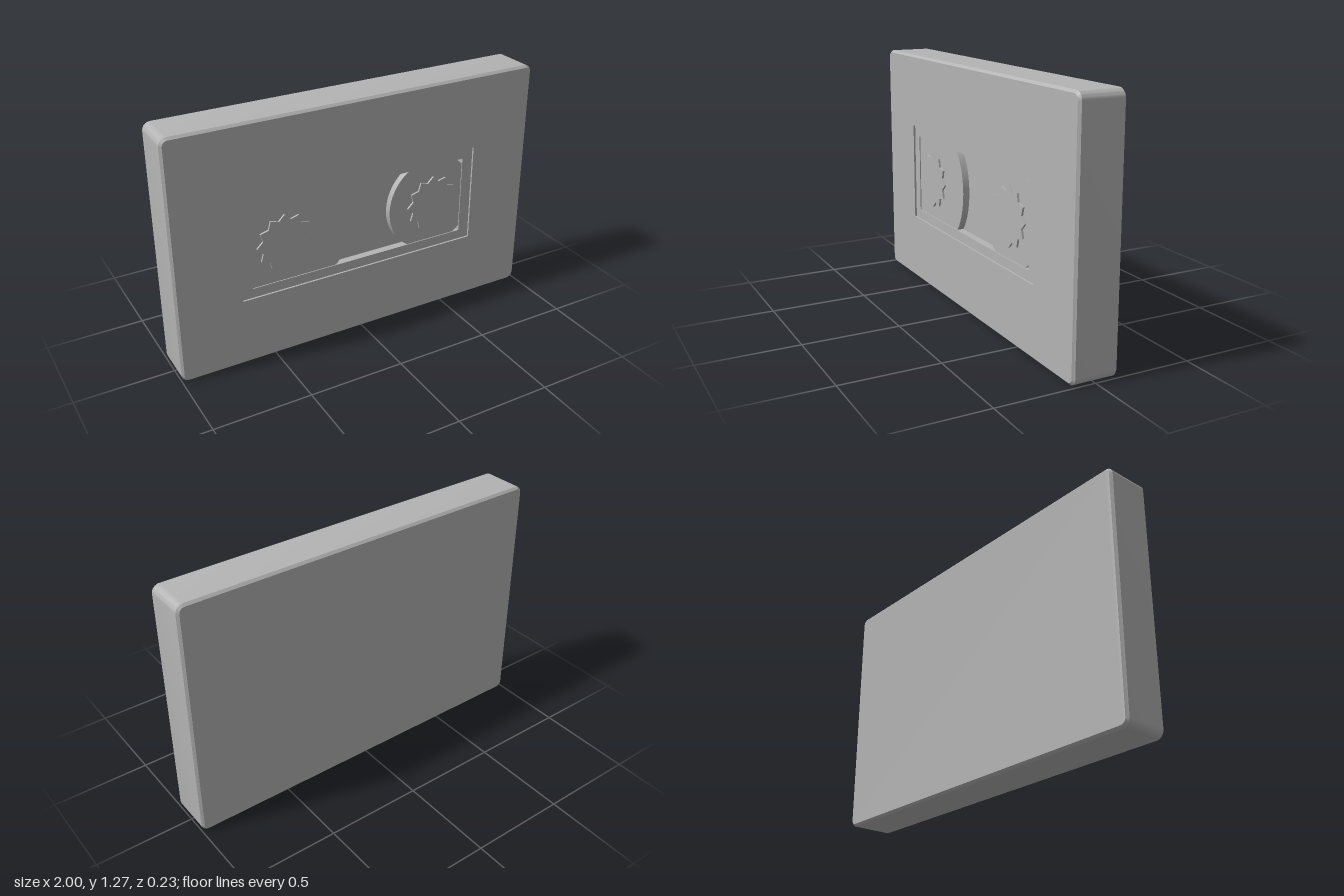
import * as THREE from 'three';
import { toCreasedNormals } from 'three/addons/utils/BufferGeometryUtils.js';

const W = 2, H = 1.275, MID = H / 2, Z = 0.117, BEVEL = 0.012;
const FRAME_Z = Z - 0.01, SPOOL_Z = Z - 0.015, FLOOR_Z = Z - 0.05;

// Counter-clockwise rounded rectangle outline, centred on (0, MID)
function roundedOutline(inset) {
  const r = 0.04 - inset, cx = W / 2 - 0.04, cy = H / 2 - 0.04, pts = [];
  [[1, 1], [-1, 1], [-1, -1], [1, -1]].forEach(([sx, sy], q) => {
    for (let i = 0; i <= 8; i++) {
      const a = (q + i / 8) * Math.PI / 2;
      pts.push(new THREE.Vector2(sx * cx + r * Math.cos(a), MID + sy * cy + r * Math.sin(a)));
    }
  });
  return pts;
}

function rectOutline(x0, x1, y0, y1) {
  return [[x0, y0], [x1, y0], [x1, y1], [x0, y1]].map(([x, y]) => new THREE.Vector2(x, y));
}

// Walls through outlines placed at rising z; inward flips them to line a hole
function walls(rings, inward = false) {
  const pos = [], n = rings[0].pts.length;
  for (let k = 0; k < rings.length - 1; k++) {
    for (let i = 0; i < n; i++) {
      const j = (i + 1) % n, lo = rings[k], hi = rings[k + 1];
      const a = [lo.pts[i].x, lo.pts[i].y, lo.z], b = [lo.pts[j].x, lo.pts[j].y, lo.z];
      const c = [hi.pts[j].x, hi.pts[j].y, hi.z], d = [hi.pts[i].x, hi.pts[i].y, hi.z];
      const quad = inward ? [a, c, b, a, d, c] : [a, b, c, a, c, d];
      pos.push(...quad.flat());
    }
  }
  const g = new THREE.BufferGeometry();
  g.setAttribute('position', new THREE.Float32BufferAttribute(pos, 3));
  return toCreasedNormals(g, 0.6);
}

// Flat face towards +z, optionally with a hole
function face(pts, z, hole) {
  const s = new THREE.Shape(pts);
  if (hole) s.holes.push(new THREE.Path(hole));
  return new THREE.ShapeGeometry(s).translate(0, 0, z);
}

export function createModel() {
  const group = new THREE.Group();
  const grey = new THREE.MeshStandardMaterial({ color: 0xb4b4b4 });
  grey.name = 'plain grey';
  const add = (name, geometry) => {
    const m = new THREE.Mesh(geometry, grey);
    m.name = name;
    group.add(m);
  };

  const full = roundedOutline(0), inset = roundedOutline(BEVEL);
  const panel = rectOutline(-0.662, 0.66, 0.36, 0.885);
  const win = rectOutline(-0.605, 0.6, 0.41, 0.83);

  // Case with chamfered front and back edges
  add('caseSides', walls([
    { pts: inset, z: -Z }, { pts: full, z: -Z + BEVEL },
    { pts: full, z: Z - BEVEL }, { pts: inset, z: Z },
  ]));
  add('caseFront', face(inset, Z, panel));
  add('caseBack', face(inset, 0).rotateY(Math.PI).translate(0, 0, -Z));

  // Shallow recess and the window opening inside it
  add('recessWalls', walls([{ pts: panel, z: FRAME_Z }, { pts: panel, z: Z }], true));
  add('windowFrame', face(panel, FRAME_Z, win));
  add('windowWalls', walls([{ pts: win, z: FLOOR_Z }, { pts: win, z: FRAME_Z }], true));
  add('windowFloor', face(win, FLOOR_Z));

  // Tape spools trimmed to the window, each with a toothed hub
  for (const [side, cx, r] of [['right', -0.425, 0.352], ['left', 0.42, 0.255]]) {
    const spool = [];
    for (let i = 0; i < 96; i++) {
      const a = i / 96 * Math.PI * 2;
      const p = new THREE.Vector2(
        THREE.MathUtils.clamp(cx + r * Math.cos(a), -0.605, 0.6),
        THREE.MathUtils.clamp(0.62 + r * Math.sin(a), 0.41, 0.83));
      if (!spool.length || p.distanceTo(spool[spool.length - 1]) > 1e-4) spool.push(p);
    }
    add(side + 'SpoolFace', face(spool, SPOOL_Z));
    add(side + 'SpoolEdge', walls([{ pts: spool, z: FLOOR_Z }, { pts: spool, z: SPOOL_Z }]));

    const hub = [];
    for (let i = 0; i < 24; i++) {
      const a = i / 24 * Math.PI * 2, hr = i % 2 ? 0.122 : 0.15;
      hub.push(new THREE.Vector2(cx + hr * Math.cos(a), 0.62 + hr * Math.sin(a)));
    }
    add(side + 'HubFace', face(hub, SPOOL_Z + 0.01));
    add(side + 'HubTeeth', walls([{ pts: hub, z: SPOOL_Z }, { pts: hub, z: SPOOL_Z + 0.01 }]));
  }
  return group;
}
